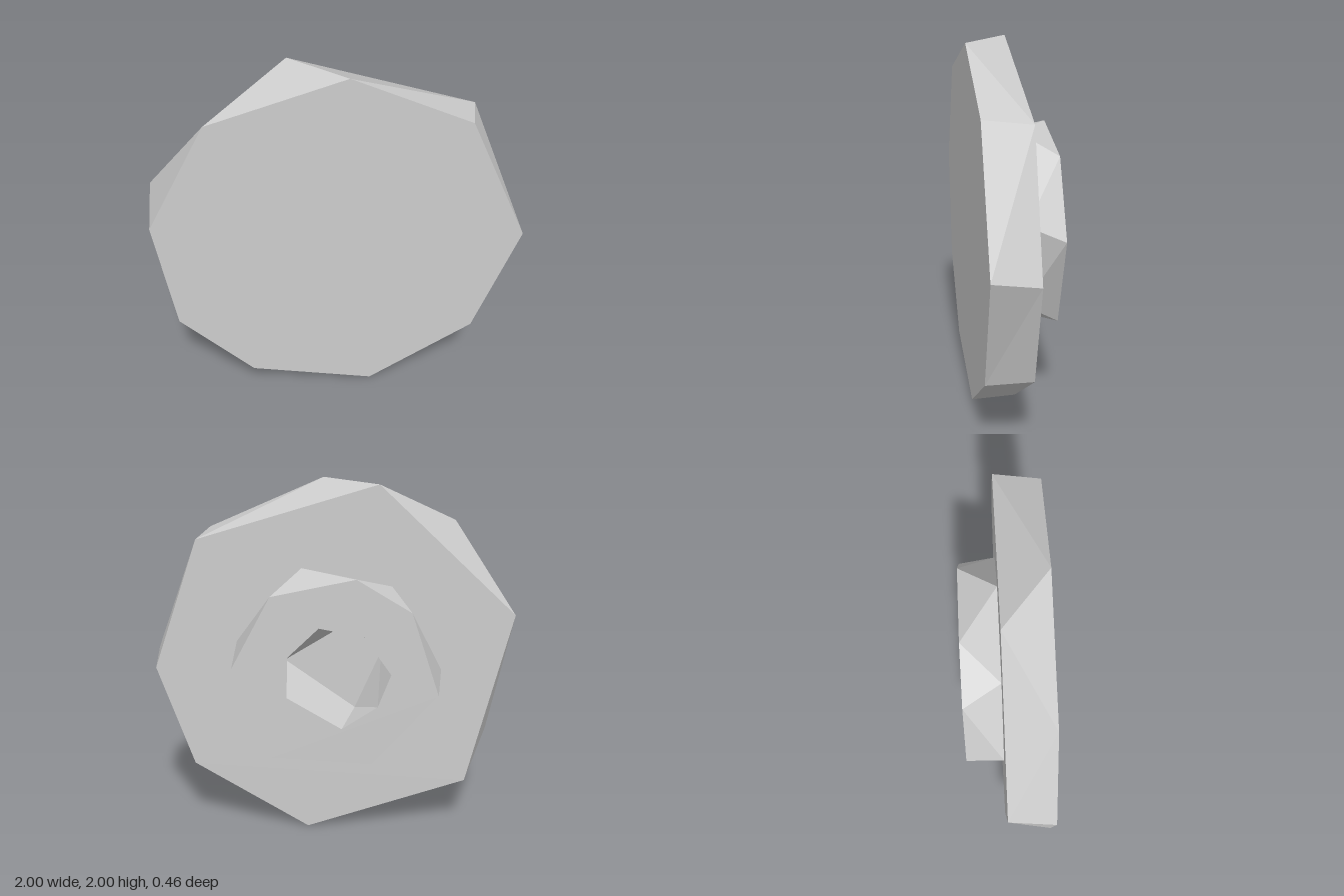
import * as THREE from 'three';

// Outlines as x, y corners, counter-clockwise seen from the front
const outline = (...n) => Array.from({ length: n.length / 2 }, (_, i) => new THREE.Vector2(n[2 * i], n[2 * i + 1]));
const discFront = outline(0.05, 2, -0.68, 1.765, -1, 1.16, -0.9, 0.52, -0.5, 0.13, 0.18, 0.01, 0.76, 0.385, 1, 1.02, 0.68, 1.725);
const discBack = outline(-0.25, 2, -1, 1.29, -0.76, 0.3, 0.14, 0, 0.785, 0.4, 0.98, 0.98, 0.73, 1.705);
const hubBase = outline(0.165, 1.55, -0.325, 1.45, -0.605, 0.975, -0.1, 0.43, 0.42, 0.666, 0.525, 1.137);
const hubTop = outline(0.325, 1.445, -0.13, 1.54, -0.425, 1.36, -0.578, 0.895, -0.22, 0.49, 0.33, 0.527, 0.538, 1.045);
const holeRim = outline(0.068, 1.274, -0.173, 1.226, -0.32, 1.015, -0.25, 0.83, -0.055, 0.7, 0.243, 0.88, 0.237, 1.11);
const holeFloor = outline(-0.08, 1.24, -0.27, 1.08, -0.127, 0.75, 0.26, 1.03);
const FRONT = 0.226, MIDDLE = -0.025, BACK = -0.23;

// Facetted wall between two outlines with different corner counts, taking the shorter diagonal
function wall(a, za, b, zb) {
  const pos = [];
  const put = (p, z) => pos.push(p.x, p.y, z);
  let i = 0, j = 0;
  while (i < a.length || j < b.length) {
    const p = a[i % a.length], p1 = a[(i + 1) % a.length];
    const q = b[j % b.length], q1 = b[(j + 1) % b.length];
    const stepA = j >= b.length || (i < a.length && p1.distanceTo(q) < p.distanceTo(q1));
    put(p, za);
    put(q, zb);
    if (stepA) { put(p1, za); i++; } else { put(q1, zb); j++; }
  }
  const g = new THREE.BufferGeometry();
  g.setAttribute('position', new THREE.Float32BufferAttribute(pos, 3));
  g.computeVertexNormals();
  return g;
}

// Flat face facing the front or the back, with an optional hole
function cap(points, z, facesBack, hole) {
  const shape = new THREE.Shape(points);
  if (hole) shape.holes.push(new THREE.Path(hole));
  const g = new THREE.ShapeGeometry(shape);
  if (facesBack) g.index.array.reverse();
  g.translate(0, 0, z);
  g.computeVertexNormals();
  return g;
}

export function createModel() {
  const stone = new THREE.MeshStandardMaterial({ color: 0xcccccc, flatShading: true });
  stone.name = 'light grey';
  const model = new THREE.Group();
  model.name = 'facettedDisc';
  const part = (name, ...pieces) => {
    const group = new THREE.Group();
    group.name = name;
    for (const [label, geometry] of pieces) {
      const mesh = new THREE.Mesh(geometry, stone);
      mesh.name = label;
      group.add(mesh);
    }
    model.add(group);
  };

  // Broad disc
  part('disc',
    ['discFrontFace', cap(discFront, FRONT, false)],
    ['discRim', wall(discFront, FRONT, discBack, MIDDLE)],
    ['discBackFace', cap(discBack, MIDDLE, true)]);

  // Raised hub on the back, its hole ending at the disc
  part('hub',
    ['hubSide', wall(hubBase, MIDDLE, hubTop, BACK)],
    ['hubFace', cap(hubTop, BACK, true, holeRim)],
    ['hubHole', wall(holeRim, BACK, holeFloor, MIDDLE)]);
  return model;
}
